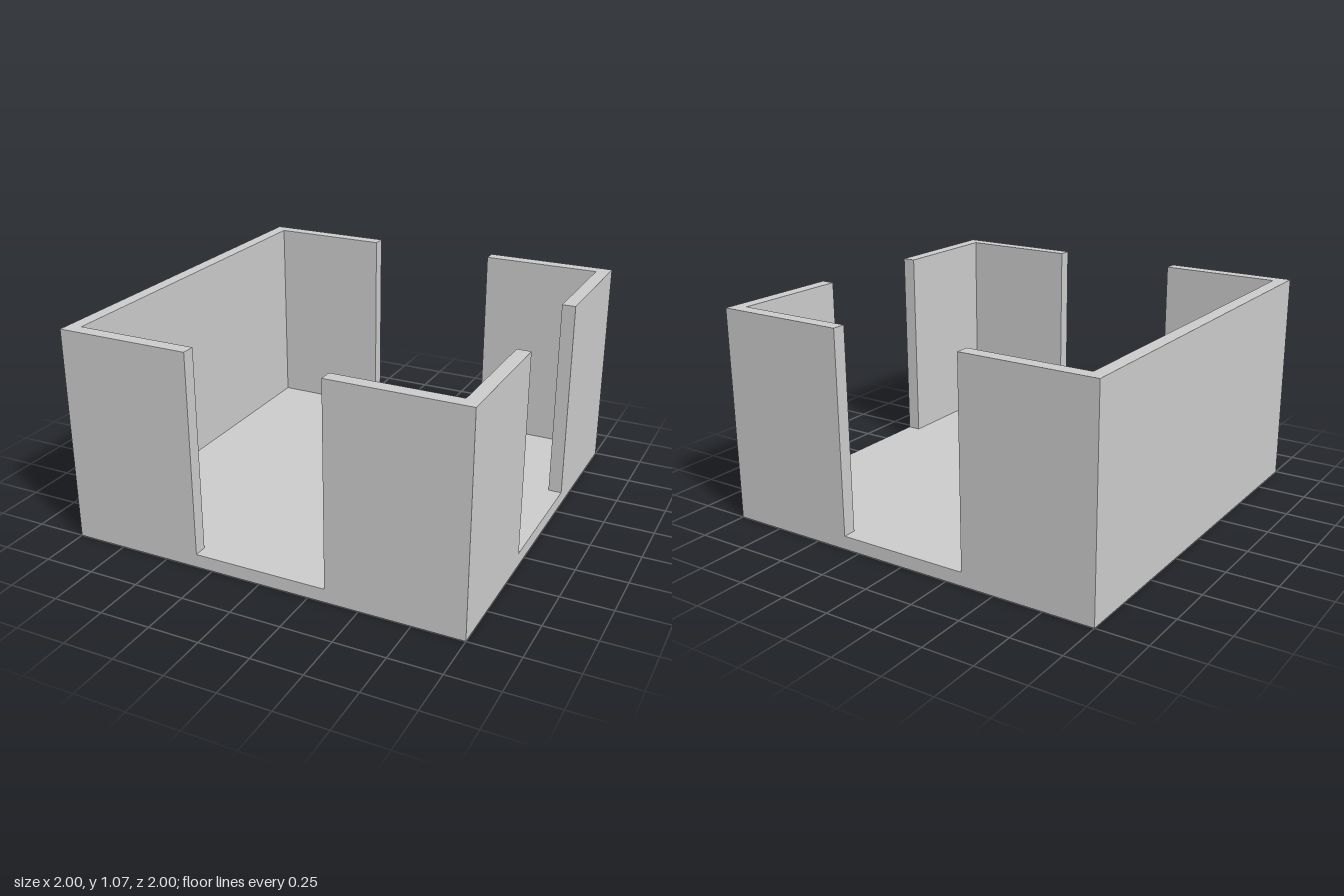
import * as THREE from 'three';

const FLOOR = 0.067, TOP = 1.067; // floor level and wall top
const O = 1, I = 0.933, D = 0.333; // outer face, inner face, half doorway

const material = new THREE.MeshStandardMaterial({ color: 0xcccccc, flatShading: true, side: THREE.DoubleSide });

function add(group, name, geometry) {
  const mesh = new THREE.Mesh(geometry, material);
  mesh.name = name;
  group.add(mesh);
  return mesh;
}

// Outlines are [x, -z] pairs, counter-clockwise seen from above.
function flat(outline, y) {
  const shape = new THREE.Shape(outline.map(([x, s]) => new THREE.Vector2(x, s)));
  return new THREE.ShapeGeometry(shape).rotateX(-Math.PI / 2).translate(0, y, 0);
}

// Upright band around a closed outline, open above and below
function band(outline, y0, y1) {
  const positions = [];
  outline.forEach(([ax, as], i) => {
    const [bx, bs] = outline[(i + 1) % outline.length];
    const a0 = [ax, y0, -as], b0 = [bx, y0, -bs], a1 = [ax, y1, -as], b1 = [bx, y1, -bs];
    positions.push(...a0, ...b0, ...b1, ...a0, ...b1, ...a1);
  });
  const geometry = new THREE.BufferGeometry();
  geometry.setAttribute('position', new THREE.Float32BufferAttribute(positions, 3));
  geometry.computeVertexNormals();
  return geometry;
}

// Hollow wall, open at the bottom
function wall(name, outline) {
  const group = new THREE.Group();
  group.name = name;
  add(group, name + 'Sides', band(outline, FLOOR, TOP));
  add(group, name + 'Top', flat(outline, TOP));
  return group;
}

export function createModel() {
  const model = new THREE.Group();
  model.name = 'roomTile';

  // Floor reaching out into the three doorways
  add(model, 'floor', flat([
    [-I, -I], [-D, -I], [-D, -O], [D, -O], [D, -I], [I, -I], [I, -D], [O, -D],
    [O, D], [I, D], [I, I], [D, I], [D, O], [-D, O], [-D, I], [-I, I],
  ], FLOOR));

  // Rim under the walls and doorways, open underneath
  add(model, 'baseRim', band([[-O, -O], [O, -O], [O, O], [-O, O]], 0, FLOOR));

  // Solid side wall with its two returns
  model.add(wall('rightWall', [
    [-D, -O], [-D, -I], [-I, -I], [-I, I], [-D, I], [-D, O], [-O, O], [-O, -O],
  ]));

  // Corner walls either side of the side doorway
  const corner = [[D, -O], [O, -O], [O, -D], [I, -D], [I, -I], [D, -I]];
  model.add(wall('frontLeftCorner', corner));
  model.add(wall('backLeftCorner', corner.map(([x, s]) => [x, -s]).reverse()));

  return model;
}
